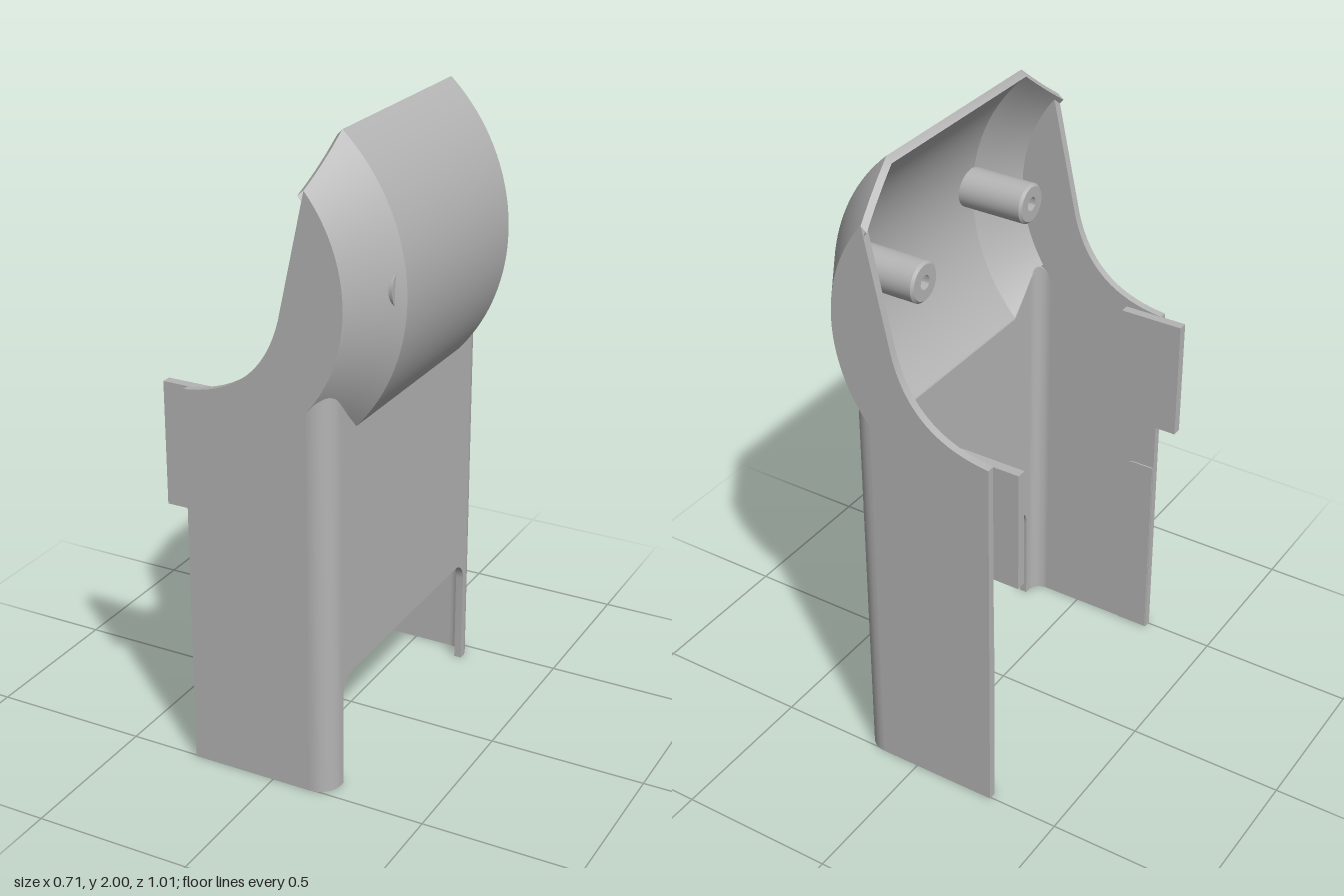
import * as THREE from 'three';
import { toCreasedNormals } from 'three/addons/utils/BufferGeometryUtils.js';

const Z = 0.505, THICK = 0.025;          // half width and wall thickness
const CX = -0.252, CY = 1.55;            // centre of the hood's arc
const R_BIG = 0.605, R_SMALL = 0.494;    // hood radius in the middle and at the sides
const FRONT = 0.197, CORNER = 0.07;      // front wall position and corner radius

const mix = THREE.MathUtils.lerp;
const taper = z => THREE.MathUtils.clamp((Math.abs(z) - 0.34) / (Z - 0.34), 0, 1);
const hoodRadius = z => mix(R_BIG, R_SMALL, taper(z));
const wallX = z => {
  const d = Math.max(0, Math.abs(z) - (Z - CORNER));
  return FRONT - CORNER + Math.sqrt(Math.max(0, CORNER * CORNER - d * d));
};
const hoodBottom = (x, z) => CY - Math.sqrt(hoodRadius(z) ** 2 - (x - CX) ** 2);

// Skin a row of closed rings; optional caps close four-cornered ends
function skin(rings, capped) {
  const pos = [];
  const quad = (a, b, c, d) => pos.push(...a, ...b, ...c, ...a, ...c, ...d);
  for (let i = 0; i < rings.length - 1; i++) {
    const p = rings[i], q = rings[i + 1];
    for (let j = 0; j < p.length; j++) {
      const k = (j + 1) % p.length;
      quad(p[j], p[k], q[k], q[j]);
    }
  }
  if (capped) {
    const e = rings[rings.length - 1];
    quad(rings[0][3], rings[0][2], rings[0][1], rings[0][0]);
    quad(e[0], e[1], e[2], e[3]);
  }
  const g = new THREE.BufferGeometry();
  g.setAttribute('position', new THREE.Float32BufferAttribute(pos, 3));
  return toCreasedNormals(g, 0.5);
}

// Front wall with rounded corners, two legs and an arched opening
function frontWallGeometry() {
  const half = [];
  const add = (xo, zo, xi, zi, bottom) => half.push({ xo, zo, xi, zi, bottom });
  const cx = FRONT - CORNER, cz = Z - CORNER, ri = CORNER - THICK;
  for (let i = 0; i <= 10; i++) {
    const t = (i / 10) * Math.PI / 2, s = Math.sin(t), c = Math.cos(t);
    add(cx + CORNER * s, cz + CORNER * c, cx + ri * s, cz + ri * c, 0);
  }
  const flat = (z, bottom) => add(FRONT, z, FRONT - THICK, z, bottom);
  flat(0.42, 0);
  for (let i = 0; i <= 8; i++) {
    const t = (i / 8) * Math.PI / 2;
    flat(0.36 + 0.06 * Math.cos(t), 0.3 + 0.065 * Math.sin(t));
  }
  flat(0.34, 0.365);
  const mirrored = half.map(s => ({ ...s, zo: -s.zo, zi: -s.zi })).reverse();
  const rings = [...half, ...mirrored].map(s => {
    const top = hoodBottom(s.xo, s.zo) + 0.005;
    return [[s.xo, s.bottom, s.zo], [s.xo, top, s.zo], [s.xi, top, s.zi], [s.xi, s.bottom, s.zi]];
  });
  return skin(rings.reverse(), true);
}

// Hood: part of a hollow drum with conical shoulders
function hoodGeometry() {
  const side = [Z, 0.495, 0.48, 0.46, Z - CORNER, 0.39, 0.34];
  const zs = [...side, ...side.map(z => -z).reverse()];
  const N = 36;
  const rings = zs.map(z => {
    const r = hoodRadius(z);
    const start = -Math.acos((wallX(z) - CX) / r) - 0.015;
    const end = mix(0.835, 0.7, taper(z));
    const at = (rad, i) => {
      const a = mix(start, end, i / N);
      return [CX + rad * Math.cos(a), CY + rad * Math.sin(a), z];
    };
    const outer = [], inner = [];
    for (let i = 0; i <= N; i++) {
      outer.push(at(r, i));
      inner.unshift(at(r - THICK, i));
    }
    return [...outer, ...inner];
  });
  return skin(rings.reverse(), false);
}

// Side plate outline with a concave shoulder and a rounded head
function sidePlateGeometry() {
  const x = FRONT - CORNER;
  const s = new THREE.Shape();
  s.moveTo(-0.272, 0);
  s.lineTo(x, 0);
  s.lineTo(x, hoodBottom(x, Z));
  s.absarc(CX, CY, R_SMALL, -Math.acos((x - CX) / R_SMALL), 0.7, false);
  s.lineTo(0.042, 1.49);
  s.bezierCurveTo(0.0, 1.33, -0.1, 1.245, -0.272, 1.228);
  s.closePath();
  const g = new THREE.ExtrudeGeometry(s, { depth: THICK, bevelEnabled: false, curveSegments: 28 });
  return toCreasedNormals(g, 0.5);
}

// Shallow pad on the inside of a side plate, with one rounded top corner
function padGeometry() {
  const s = new THREE.Shape();
  s.moveTo(-0.27, 0.003);
  s.lineTo(-0.165, 0.003);
  s.lineTo(-0.165, 0.62);
  s.quadraticCurveTo(-0.165, 0.66, -0.205, 0.66);
  s.lineTo(-0.27, 0.66);
  s.closePath();
  return new THREE.ExtrudeGeometry(s, { depth: 0.006, bevelEnabled: false });
}

// Hollow screw post
function postGeometry(length) {
  const profile = [[0, 0.06], [0.022, 0.06], [0.022, 0], [0.056, 0], [0.064, 0.008], [0.064, length], [0, length]];
  const g = new THREE.LatheGeometry(profile.map(p => new THREE.Vector2(...p)), 32);
  return toCreasedNormals(g, 0.5);
}

export function createModel() {
  const model = new THREE.Group();
  model.name = 'bracketCover';
  const grey = new THREE.MeshStandardMaterial({ color: 0xb4b4b4, side: THREE.DoubleSide });
  grey.name = 'plainGrey';

  const add = (name, geometry, x = 0, y = 0, z = 0) => {
    const m = new THREE.Mesh(geometry, grey);
    m.name = name;
    m.position.set(x, y, z);
    model.add(m);
    return m;
  };

  add('frontWall', frontWallGeometry());
  add('hood', hoodGeometry());

  // Mirrored side parts
  for (const [side, sign] of [['left', 1], ['right', -1]]) {
    const inner = sign * (Z - THICK);
    add(side + 'SidePlate', sidePlateGeometry(), 0, 0, sign > 0 ? inner : -Z);
    add(side + 'InnerPad', padGeometry(), 0, 0, sign > 0 ? inner - 0.005 : inner - 0.001);
    add(side + 'Tab', new THREE.BoxGeometry(0.205, 0.39, 0.03), -0.2525, 1.033, sign * 0.466);
  }

  // Screw posts inside the hood
  for (const z of [-0.245, 0.325]) {
    add('screwPost', postGeometry(0.226), 0.105, 1.58, z).rotation.z = -Math.PI / 2;
  }
  return model;
}
